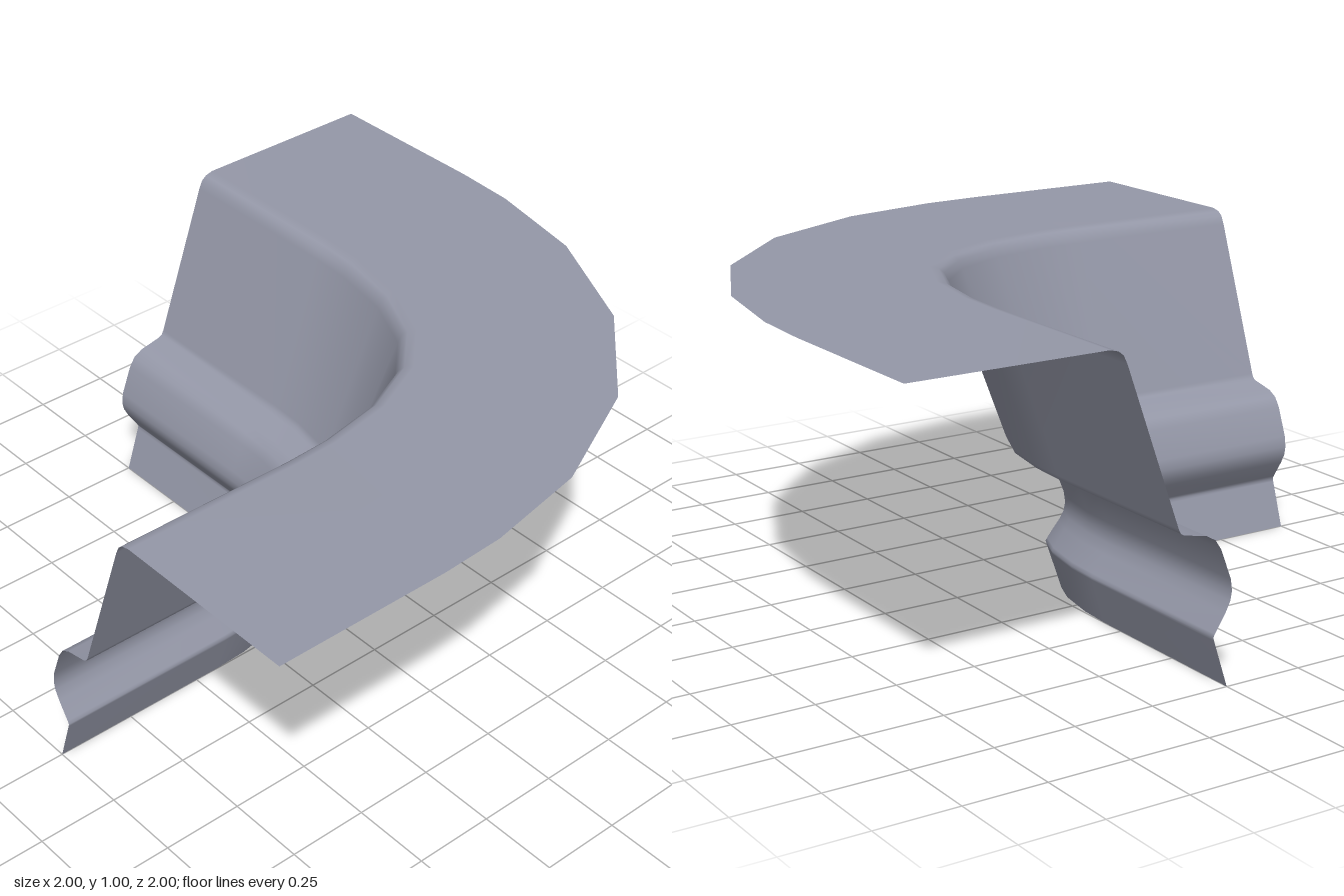
import * as THREE from 'three';

// Moulding cross-section: [outward offset, height], with narrow bevels on the ridges
const PROFILE = [
  [0, 0], [0.047, 0.142], [0.05, 0.152], [0.045, 0.162], [0.01, 0.217], [-0.005, 0.247],
  [-0.01, 0.275], [-0.005, 0.31], [0.03, 0.4], [0.05, 0.43], [0.08, 0.447], [0.155, 0.463],
  [0.166, 0.469], [0.173, 0.483], [0.345, 0.955], [0.357, 0.98], [0.373, 0.993], [0.4, 1], [1, 1],
];

// Half of the corner path [x, z] at the innermost and outermost offsets
const INNER = [[-1, -0.01], [-0.42, -0.01], [-0.31, -0.016], [-0.18, -0.04], [-0.105, -0.07]];
const OUTER = [[-1, 1], [-0.45, 1], [-0.25, 0.99], [0.08, 0.927], [0.45, 0.747]];

// Complete the path by mirroring it across the corner's diagonal
const mirrorPath = (half) => [...half, ...half.map(([x, z]) => [z, x]).reverse()];

// Sweep the cross-section round the corner, blending between both paths
function sweepCorner() {
  const inner = mirrorPath(INNER), outer = mirrorPath(OUTER);
  const rows = PROFILE.length, positions = [], indices = [];
  inner.forEach(([ix, iz], i) => {
    const [ox, oz] = outer[i];
    for (const [offset, y] of PROFILE) {
      const t = (offset + 0.01) / 1.01;
      positions.push(ix + (ox - ix) * t, y, iz + (oz - iz) * t);
    }
  });
  for (let i = 0; i < inner.length - 1; i++) {
    for (let j = 0; j < rows - 1; j++) {
      const a = i * rows + j, b = a + rows;
      indices.push(a, b, b + 1, a, b + 1, a + 1);
    }
  }
  const geometry = new THREE.BufferGeometry();
  geometry.setAttribute('position', new THREE.Float32BufferAttribute(positions, 3));
  geometry.setIndex(indices);
  geometry.computeVertexNormals();
  return geometry;
}

export function createModel() {
  const group = new THREE.Group();
  group.name = 'corniceCorner';
  const material = new THREE.MeshStandardMaterial({ color: 0x9598a8, side: THREE.DoubleSide });
  const moulding = new THREE.Mesh(sweepCorner(), material);
  moulding.name = 'curvedMoulding';
  group.add(moulding);
  return group;
}
